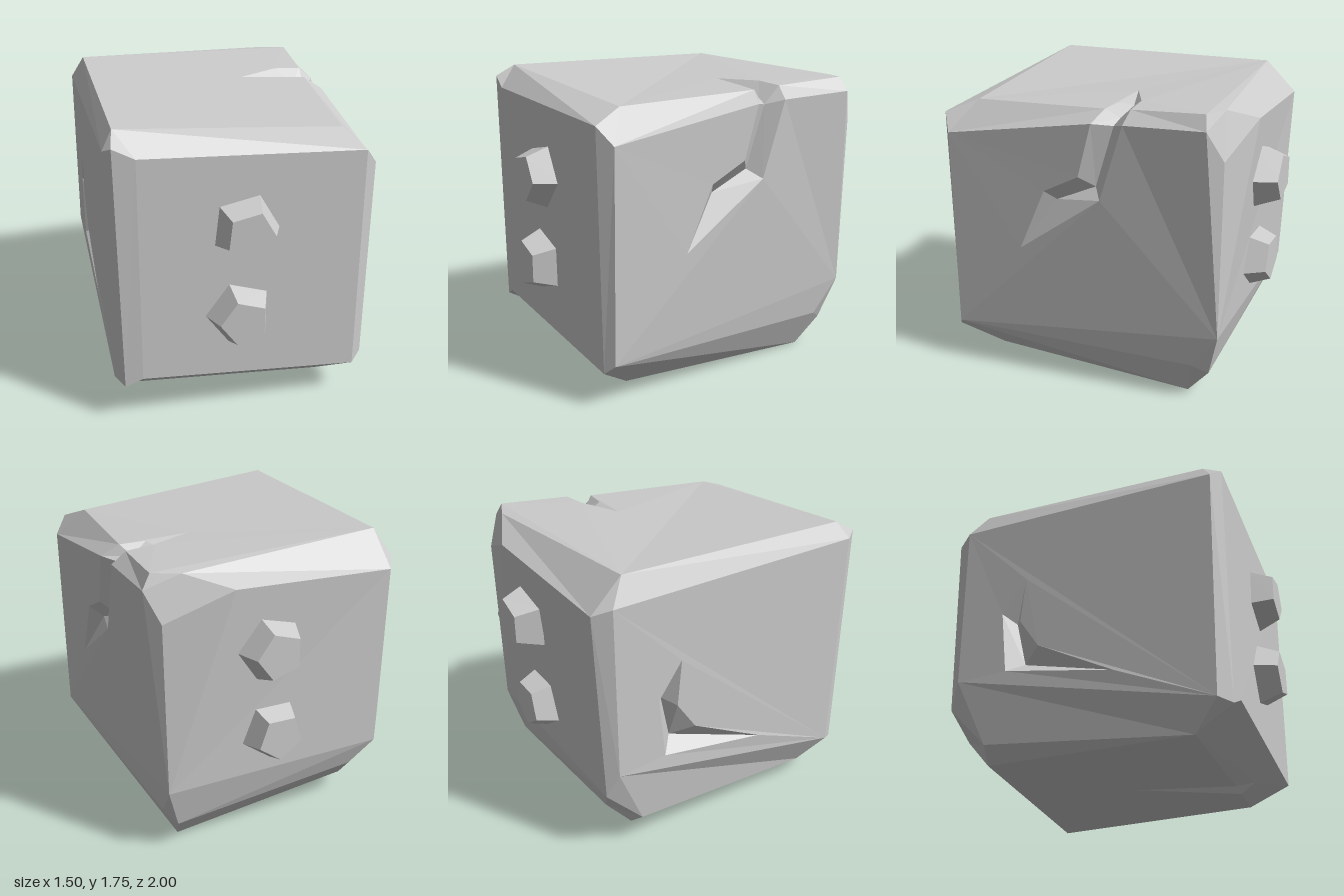
import * as THREE from 'three';

const V = (x, y, z) => new THREE.Vector3(x, y, z);
const MID = V(0, 0.9, 0);

// Collects flat polygons, turned to face a given direction (default: away from the block's middle)
function polygonMesh(name, material) {
  const out = [];
  const add = (pts, hint, hole = []) => {
    const n = V(0, 0, 0), c = V(0, 0, 0);
    pts.forEach((p, i) => {
      n.add(p.clone().cross(pts[(i + 1) % pts.length]));
      c.add(p);
    });
    if (n.dot(hint || c.divideScalar(pts.length).sub(MID)) < 0) n.negate();
    const a = [Math.abs(n.x), Math.abs(n.y), Math.abs(n.z)];
    const k = a.indexOf(Math.max(...a));
    const flat = p => k === 0 ? new THREE.Vector2(p.y, p.z) : k === 1 ? new THREE.Vector2(p.x, p.z) : new THREE.Vector2(p.x, p.y);
    const all = [...pts, ...hole];
    const holes = hole.length ? [hole.map(flat)] : [];
    for (const t of THREE.ShapeUtils.triangulateShape(pts.map(flat), holes)) {
      let [p, q, r] = t.map(i => all[i]);
      if (q.clone().sub(p).cross(r.clone().sub(p)).dot(n) < 0) [q, r] = [r, q];
      for (const v of [p, q, r]) out.push(v.x, v.y, v.z);
    }
  };
  const build = () => {
    const g = new THREE.BufferGeometry();
    g.setAttribute('position', new THREE.Float32BufferAttribute(out, 3));
    g.computeVertexNormals();
    const m = new THREE.Mesh(g, material);
    m.name = name;
    return m;
  };
  return { add, build };
}

export function createModel() {
  const group = new THREE.Group();
  group.name = 'stoneBlock';
  const mat = new THREE.MeshStandardMaterial({ color: 0xcccccc, flatShading: true });

  // Corners: t/b = top/bottom, f/b = front/back, l/r = -x/+x, then the face each point lies on
  const tfrX = V(0.75, 1.475, 0.81), tfrY = V(0.59, 1.65, 0.69), tfrZ = V(0.67, 1.575, 0.875);
  const tflX = V(-0.74, 1.66, 0.8), tflY = V(-0.68, 1.755, 0.745), tflZ = V(-0.58, 1.63, 0.875), tflE = V(-0.7, 1.69, 0.86);
  const bfrX = V(0.74, 0.265, 0.82), bfrY = V(0.53, 0.05, 0.64), bfrZ = V(0.68, 0.21, 0.86);
  const bflX = V(-0.73, 0.28, 0.78), bflY = V(-0.64, 0.12, 0.63), bflZ = V(-0.58, 0.3, 0.87), bflE = V(-0.68, 0.25, 0.855);
  const tbrX = V(0.75, 1.645, -0.75), tbrY = V(0.7, 1.725, -0.73), tbrZ = V(0.68, 1.475, -0.83);
  const tbrQ = V(0.55, 1.72, -0.79), tbrP = V(0.3, 1.63, -0.905);
  const tblX = V(-0.745, 1.61, -0.76), tblY = V(-0.675, 1.755, -0.67), tblZ = V(-0.68, 1.57, -0.855);
  const bbrX = V(0.64, 0.23, -0.66), bbrY = V(0.53, 0, -0.61), bbrZ = V(0.58, 0.17, -0.75), bbrE = V(0.66, 0.44, -0.82);
  const bblX = V(-0.75, 0.59, -0.75), bblY = V(-0.6, 0.11, -0.6), bblZ = V(-0.7, 0.44, -0.81);
  const bblE = V(-0.57, 0.275, -0.75), bblF = V(-0.7, 0.2, -0.58);

  // Crack running over the top edge and down the +x side
  const topTip = V(0.245, 1.705, -0.165), tA = V(0.5, 1.69, -0.16), tB = V(0.5, 1.71, -0.29);
  const a1 = V(0.65, 1.685, -0.14), b1 = V(0.67, 1.7, -0.3), a2 = V(0.75, 1.62, -0.1), b2 = V(0.75, 1.63, -0.285);
  const sideTip = V(0.745, 0.83, 0.365), s1 = V(0.745, 1.2, 0.2), s2 = V(0.745, 1.31, -0.015), sB = V(0.745, 1.19, -0.145);
  const vM = V(0.46, 1.67, -0.23), vT = V(0.6, 1.63, -0.21), vX = V(0.67, 1.6, -0.2);
  const v2 = V(0.66, 1.24, -0.085), v1 = V(0.67, 1.135, 0.155);

  // Notch under the front edge
  const n1 = V(0.16, 0.077, 0.64), n2 = V(0.29, 0.067, 0.64), nFront = V(0.29, 0.13, 0.73);
  const nTip = V(0, 0.068, 0.08), nV = V(0.22, 0.14, 0.6);

  // Bent gouge on the -x side
  const gouge = [[1.2, -0.345], [0.92, -0.37], [0.745, -0.25], [0.515, 0.21], [0.615, -0.45], [0.99, -0.49]]
    .map(([y, z]) => V(-0.743, y, z));
  const g1 = V(-0.66, 0.95, -0.43), g2 = V(-0.65, 0.68, -0.37);

  const block = polygonMesh('block', mat);
  // Main sides
  block.add([tflY, tfrY, a1, tA, topTip, tB, b1, tbrY, tbrQ, tblY]);
  block.add([tfrX, bfrX, bbrX, bbrE, tbrX, b2, sB, sideTip, s1, s2, a2]);
  block.add([tflX, bflX, bblX, tblX], null, gouge);
  block.add([bflY, n1, nTip, n2, bfrY, bbrY, bblY]);
  // Remaining sides, worn edges and corners
  for (const p of [
    [tflZ, tfrZ, bfrZ, bflZ], [bbrE, tbrZ, tbrP, tblZ, bblZ],
    [tfrY, tfrX, a2, a1], [b1, b2, tbrX, tbrY],
    [tflZ, tflE, bflE, bflZ], [tflE, tflX, bflX, bflE],
    [tfrZ, tfrX, bfrX, bfrZ], [tflY, tfrY, tfrZ, tflZ],
    [tflY, tflZ, tflE, tflX], [tfrX, tfrY, tfrZ],
    [tblY, tflY, tflX, tblX], [tblY, tbrQ, tbrP, tblZ], [tblY, tblZ, tblX],
    [tbrQ, tbrP, tbrZ], [tbrQ, tbrZ, tbrX, tbrY], [tbrX, tbrZ, bbrE],
    [tblX, tblZ, bblZ, bblX],
    [bflX, bblX, bblF, bflY], [bblF, bblY, bflY], [bflX, bflE, bflZ, bflY],
    [bflZ, bfrZ, bfrY, n2, nFront, n1, bflY], [bfrX, bfrY, bfrZ],
    [bfrX, bfrY, bbrY, bbrX], [bbrX, bbrY, bbrZ], [bbrX, bbrE, bbrZ],
    [bbrY, bbrZ, bblE, bblY], [bbrZ, bbrE, bblZ, bblE],
    [bblX, bblZ, bblE, bblF], [bblE, bblY, bblF],
  ]) block.add(p);
  group.add(block.build());

  // Sloping walls of the cracks, each set facing out of its side
  const walls = (name, hint, list) => {
    const m = polygonMesh(name, mat);
    list.forEach(p => m.add(p, hint));
    group.add(m.build());
  };
  walls('topCrack', V(0, 1, 0), [
    [a1, tA, vT], [tA, vM, vT], [tA, topTip, vM], [b1, tB, vM, vT], [tB, topTip, vM],
  ]);
  walls('edgeCrack', V(1, 1, 0), [[a2, a1, vT, vX], [b2, b1, vT, vX]]);
  walls('sideCrack', V(1, 0, 0), [
    [sideTip, s1, v1], [s1, s2, v2, v1], [s2, a2, vX, v2],
    [sideTip, sB, v1], [sB, v2, v1], [sB, b2, vX, v2],
  ]);
  walls('bottomNotch', V(0, -1, 0), [[n1, nTip, nV], [nTip, n2, nV]]);
  walls('frontNotch', V(0, -1, 1), [[n1, nFront, nV], [nFront, n2, nV]]);
  const [A, B, C, D, E, F] = gouge;
  walls('sideGouge', V(-1, 0, 0), [
    [A, B, g1], [B, C, g2, g1], [C, D, g2], [D, E, g2], [E, F, g1, g2], [F, A, g1],
  ]);

  // Five-sided tapered studs: name, side, x, y, base z, tip z, angle of one corner
  for (const [name, side, x, y, z0, z1, deg] of [
    ['upperFrontStud', 1, 0, 1.195, 0.86, 1, -6],
    ['lowerFrontStud', 1, -0.025, 0.665, 0.86, 1, 180],
    ['upperBackStud', -1, 0.08, 1.25, 0.85, 1, 0],
    ['lowerBackStud', -1, 0.03, 0.71, 0.8, 0.945, -17],
  ]) {
    const g = new THREE.CylinderGeometry(0.138, 0.198, z1 - z0, 5);
    g.rotateX(side * Math.PI / 2);
    g.rotateZ(THREE.MathUtils.degToRad(deg + side * 90));
    g.translate(x, y, side * (z0 + z1) / 2);
    const stud = new THREE.Mesh(g, mat);
    stud.name = name;
    group.add(stud);
  }
  return group;
}
